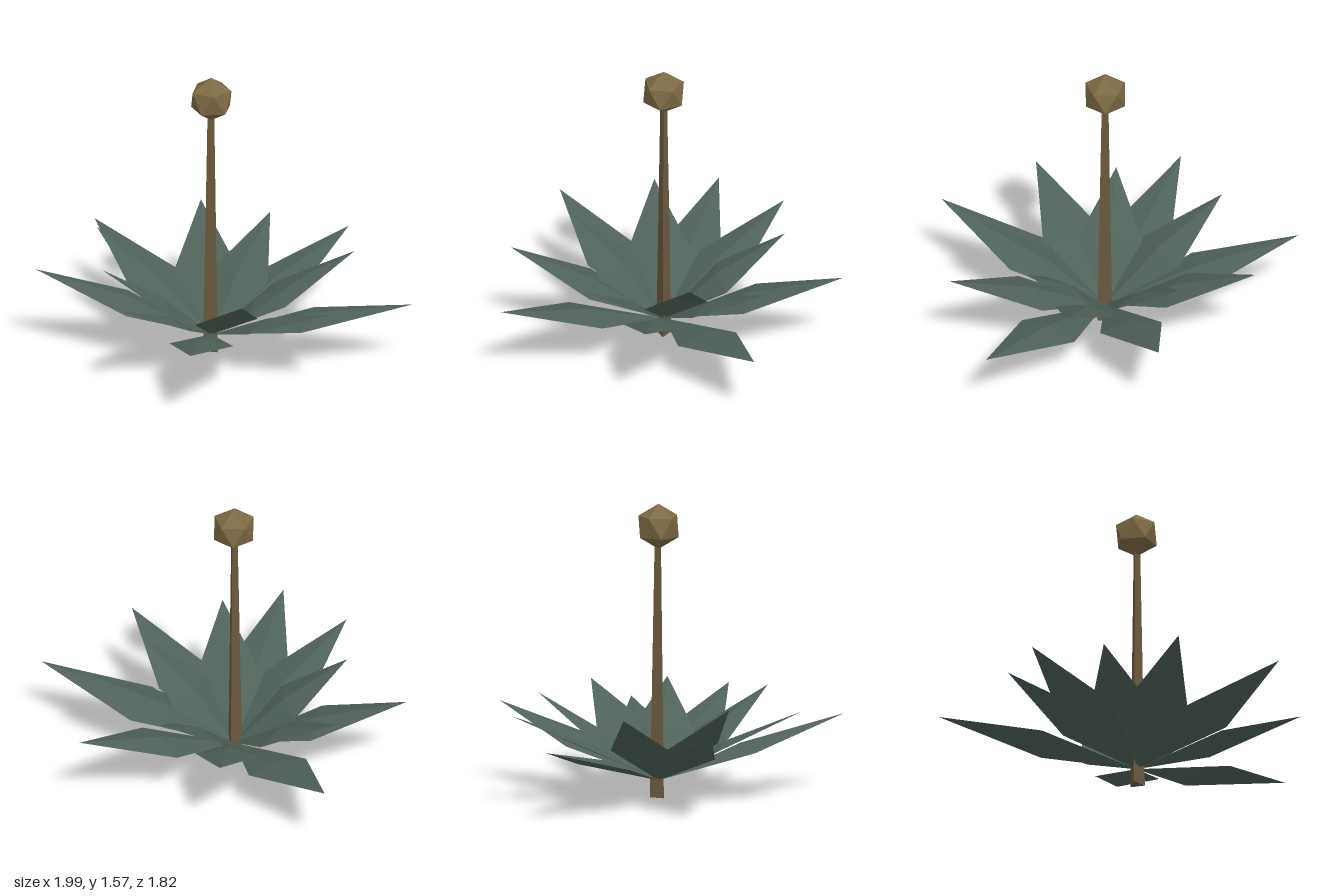
import * as THREE from 'three';

// Folded pointed blade along +x: pointed at both ends, raised ridge at the middle
function leafGeometry(length, halfWidth, ridge) {
  const mid = length * 0.48;
  const positions = [
    0, 0, 0,
    mid, 0, halfWidth,
    length, 0, 0,
    mid, 0, -halfWidth,
    mid, ridge, 0,
  ];
  const indexed = new THREE.BufferGeometry();
  indexed.setAttribute('position', new THREE.Float32BufferAttribute(positions, 3));
  indexed.setIndex([0, 1, 4, 1, 2, 4, 2, 3, 4, 3, 0, 4]);
  const geometry = indexed.toNonIndexed();
  geometry.computeVertexNormals();
  return geometry;
}

export function createModel() {
  const leafGreen = new THREE.MeshStandardMaterial({ color: 0x4f6259, flatShading: true, side: THREE.DoubleSide });
  leafGreen.name = 'leafGreen';
  const stalkBrown = new THREE.MeshStandardMaterial({ color: 0x6b5a3e, flatShading: true });
  stalkBrown.name = 'stalkBrown';
  const budTan = new THREE.MeshStandardMaterial({ color: 0x7d6a45, flatShading: true });
  budTan.name = 'budTan';

  const model = new THREE.Group();
  model.name = 'rosettePlant';
  const plant = new THREE.Group();
  plant.name = 'plant';
  plant.position.set(-0.09, 0, -0.1);
  model.add(plant);

  // Tapered three-sided stalk, flat face to the front
  const stalk = new THREE.Mesh(new THREE.CylinderGeometry(0.021, 0.046, 1.36, 3), stalkBrown);
  stalk.name = 'stalk';
  stalk.position.y = 0.68;
  stalk.rotation.y = Math.PI;
  plant.add(stalk);

  // Faceted bud standing on one corner
  const bud = new THREE.Mesh(new THREE.IcosahedronGeometry(0.121, 0), budTan);
  bud.name = 'bud';
  bud.position.y = 1.449;
  bud.rotation.z = -Math.atan(2 / (1 + Math.sqrt(5)));
  plant.add(bud);

  // Rosette: leaves spiral by the golden angle, getting shorter and steeper
  const rosette = new THREE.Group();
  rosette.name = 'rosette';
  rosette.position.y = 0.09;
  plant.add(rosette);
  const goldenAngle = 137.508;
  for (let i = 0; i < 14; i++) {
    const leaf = new THREE.Mesh(leafGeometry(1.112 - 0.0293 * i, 0.17, 0.037), leafGreen);
    leaf.name = `leaf${i + 1}`;
    leaf.rotation.y = THREE.MathUtils.degToRad(goldenAngle * i);
    leaf.rotation.z = THREE.MathUtils.degToRad(13.9 + 1.93 * i);
    rosette.add(leaf);
  }

  return model;
}
